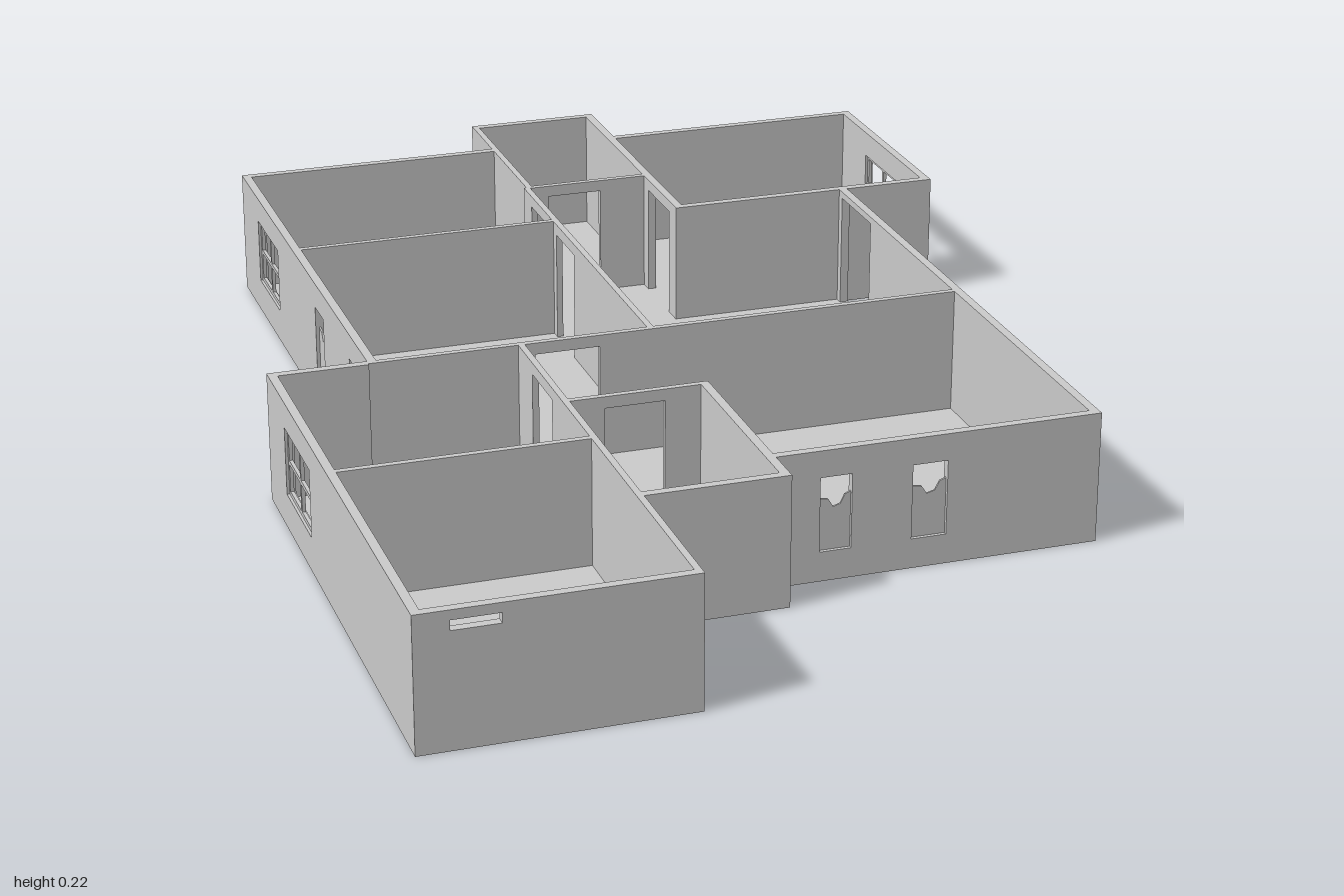
import * as THREE from 'three';

const H = 0.22, FLOOR = 0.005, OUT = 0.015, IN = 0.011;
const mat = new THREE.MeshStandardMaterial({ color: 0xcccccc, flatShading: true, side: THREE.DoubleSide });

function polygon(points) {
  return new THREE.Shape(points.map(p => new THREE.Vector2(p[0], p[1])));
}

function rect(a, b, y0, y1) {
  return polygon([[a, y0], [b, y0], [b, y1], [a, y1]]);
}

// Extruded slab centred on its own plane
function slab(shape, depth, name) {
  const geo = new THREE.ExtrudeGeometry(shape, { depth, bevelEnabled: false });
  geo.translate(0, 0, -depth / 2);
  const mesh = new THREE.Mesh(geo, mat);
  mesh.name = name;
  return mesh;
}

// Kinds of opening: [kind, from, to]
const HEIGHTS = {
  door: [FLOOR, 0.2],
  frontDoor: [FLOOR, 0.208],
  smallWindow: [0.05, 0.175],
  wideWindow: [0.06, 0.175],
  vent: [0.188, 0.204],
};

// Lower panel of a narrow window, with a notched upper edge
function smallWindow(a, b, y0, y1) {
  const w = b - a, h = y1 - y0;
  const edge = [[1, 0.75], [0.82, 0.72], [0.68, 0.6], [0.45, 0.57], [0.3, 0.68], [0, 0.7]];
  const pts = [[a, y0], [b, y0], ...edge.map(([u, v]) => [a + u * w, y0 + v * h])];
  return slab(polygon(pts), 0.003, 'windowPanel');
}

// Frame with a two by two grid of panes
function wideWindow(a, b, y0, y1) {
  const shape = rect(a, b, y0, y1), bar = 0.007;
  const w = (b - a - 3 * bar) / 2, h = (y1 - y0 - 3 * bar) / 2;
  for (let i = 0; i < 2; i++) for (let j = 0; j < 2; j++) {
    const u = a + bar + i * (w + bar), v = y0 + bar + j * (h + bar);
    shape.holes.push(rect(u, u + w, v, v + h));
  }
  return slab(shape, 0.006, 'windowFrame');
}

// Wall along x (at z = pos) or along z (at x = pos)
function wall(name, axis, pos, a, b, t, openings = []) {
  const g = new THREE.Group();
  g.name = name;
  const shape = rect(a, b, 0, H);
  for (const [kind, from, to] of openings) {
    const [y0, y1] = HEIGHTS[kind];
    shape.holes.push(rect(from, to, y0, y1));
    if (kind === 'smallWindow') g.add(smallWindow(from, to, y0, y1));
    if (kind === 'wideWindow') g.add(wideWindow(from, to, y0, y1));
  }
  g.add(slab(shape, t, name + 'Panel'));
  if (axis === 'x') g.position.z = pos;
  else {
    g.rotation.y = -Math.PI / 2;
    g.position.x = pos;
  }
  return g;
}

export function createModel() {
  const house = new THREE.Group();
  house.name = 'house';

  // Floor following the outline of the plan
  const outline = [
    [-0.04, -1], [0.2, -1], [0.2, -0.86], [0.68, -0.86], [0.68, -0.44], [0.515, -0.44],
    [0.515, 0.655], [-0.03, 0.655], [-0.03, 0.725], [-0.26, 0.725], [-0.26, 1], [-0.685, 1],
    [-0.685, 0.09], [-0.52, 0.09], [-0.52, -0.86], [-0.04, -0.86],
  ];
  const floor = slab(polygon(outline), FLOOR, 'floor');
  floor.rotation.x = Math.PI / 2;
  floor.position.y = FLOOR / 2;
  house.add(floor);

  const walls = [
    // Outer walls across the width
    ['backAlcoveWall', 'x', -0.9925, -0.04, 0.2, OUT],
    ['backRightWall', 'x', -0.8525, -0.52, -0.04, OUT],
    ['backLeftWall', 'x', -0.8525, 0.2, 0.68, OUT],
    ['leftWingFrontWall', 'x', -0.4475, 0.19, 0.68, OUT],
    ['rightWingBackWall', 'x', 0.0975, -0.685, -0.52, OUT],
    ['frontWall', 'x', 0.6475, -0.04, 0.515, OUT,
      [['smallWindow', 0.048, 0.1], ['smallWindow', 0.2, 0.258]]],
    ['closetFrontWall', 'x', 0.7175, -0.26, -0.025, OUT],
    ['rightWingFrontWall', 'x', 0.9925, -0.685, -0.26, OUT, [['vent', -0.63, -0.555]]],
    // Outer walls along the depth
    ['rightWall', 'z', -0.5125, -0.86, 0.1, OUT,
      [['wideWindow', -0.73, -0.57], ['smallWindow', -0.28, -0.22], ['smallWindow', -0.035, 0.02]]],
    ['rightWingSideWall', 'z', -0.6775, 0.09, 1, OUT, [['wideWindow', 0.21, 0.38]]],
    ['leftWall', 'z', 0.5075, -0.45, 0.655, OUT, [['frontDoor', -0.425, -0.285]]],
    ['leftWingSideWall', 'z', 0.6725, -0.86, -0.44, OUT, [['wideWindow', -0.725, -0.57]]],
    ['closetSideWall', 'z', -0.0325, 0.34, 0.725, OUT],
    ['alcoveLeftWall', 'z', 0.1925, -1, -0.44, OUT, [['door', -0.6, -0.48]]],
    ['alcoveRightWall', 'z', -0.0345, -1, -0.63, IN],
    // Partitions
    ['alcovePartition', 'x', -0.63, -0.04, 0.19, IN, [['door', 0, 0.1]]],
    ['bedroomPartition', 'x', -0.448, -0.51, -0.035, IN],
    ['middlePartition', 'x', 0.0955, -0.52, 0.51, IN, [['door', -0.24, -0.13]]],
    ['closetPartition', 'x', 0.345, -0.26, -0.03, IN, [['door', -0.2, -0.1]]],
    ['rightWingPartition', 'x', 0.495, -0.68, -0.26, IN],
    ['corridorPartition', 'z', -0.0395, -0.63, 0.095, IN,
      [['door', -0.58, -0.47], ['door', -0.425, -0.32]]],
    ['rightWingInnerWall', 'z', -0.2635, 0.09, 1, IN, [['door', 0.18, 0.29]]],
  ];
  for (const w of walls) house.add(wall(...w));

  return house;
}
